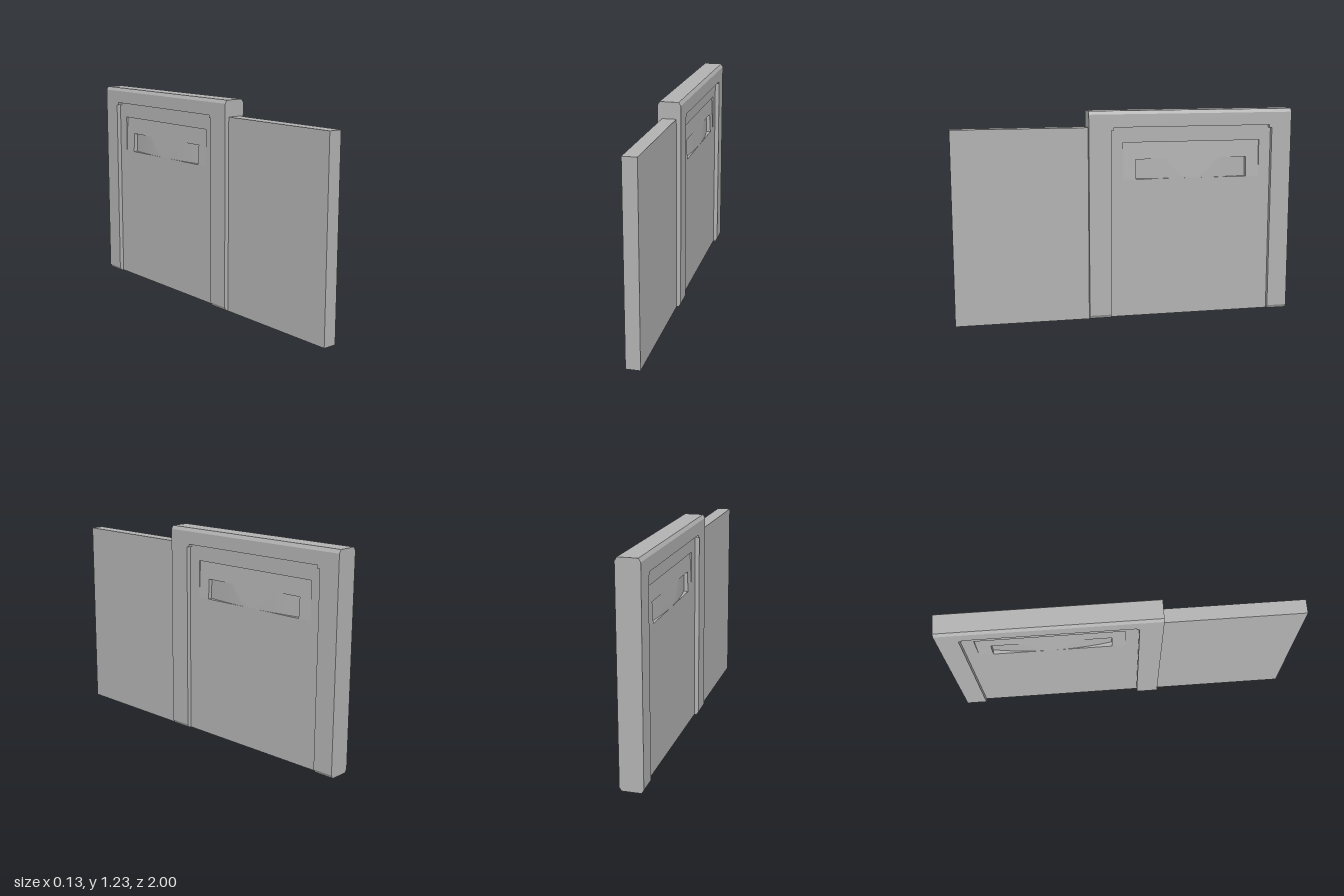
import * as THREE from 'three';

const grey = new THREE.MeshStandardMaterial({ color: 0xb2b2b2 });
grey.name = 'grey';

const HALF = 0.04;      // half thickness of the panels
const FRAME = 0.066;    // half thickness of the frame
const BASE = 0.005, TOP = 1.225, LINTEL = 1.13;
const OPEN_Z0 = -0.88, OPEN_Z1 = 0.09;
const PULL = { z0: -0.81, z1: 0.015, y0: 0.825, y1: 1.04 };
const POCKET = { z0: -0.73, z1: -0.06, y1: 0.94 };

function add(group, name, geometry) {
  const mesh = new THREE.Mesh(geometry, grey);
  mesh.name = name;
  group.add(mesh);
  return mesh;
}

function box(x, y0, y1, z0, z1) {
  return new THREE.BoxGeometry(2 * x, y1 - y0, z1 - z0).translate(0, (y0 + y1) / 2, (z0 + z1) / 2);
}

// Frame bar running along z, with chamfered top and/or bottom edges
function frameBar(y0, y1, z0, z1, bottomCut, topCut) {
  const c = 0.012, h = 0.02;
  const half = [];
  if (bottomCut) half.push([FRAME - c, y0], [FRAME, y0 + h]);
  else half.push([FRAME, y0]);
  if (topCut) half.push([FRAME, y1 - h], [FRAME - c, y1]);
  else half.push([FRAME, y1]);
  const mirrored = half.map(([x, y]) => [-x, y]).reverse();
  const shape = new THREE.Shape([...half, ...mirrored].map(([x, y]) => new THREE.Vector2(x, y)));
  return new THREE.ExtrudeGeometry(shape, { depth: z1 - z0, bevelEnabled: false }).translate(0, 0, z0);
}

// Door leaf with a rectangular opening for the recessed pulls
function leafGeometry() {
  const rect = (z0, y0, z1, y1) =>
    [[z0, y0], [z1, y0], [z1, y1], [z0, y1]].map(([z, y]) => new THREE.Vector2(z, y));
  const shape = new THREE.Shape(rect(OPEN_Z0 - 0.02, BASE, OPEN_Z1 + 0.02, LINTEL + 0.01));
  shape.holes.push(new THREE.Path(rect(PULL.z0, PULL.y0, PULL.z1, PULL.y1).reverse()));
  return new THREE.ExtrudeGeometry(shape, { depth: 2 * HALF, bevelEnabled: false })
    .rotateY(-Math.PI / 2).translate(HALF, 0, 0);
}

// Sloped shallow recess with a deeper curved finger pocket at its foot
function pullGeometry(side) {
  const span = (a, b, n) => Array.from({ length: n + 1 }, (_, i) => a + (b - a) * i / n);
  const tag = (values, zone) => values.map(v => ({ v, zone }));
  // zone 0 = rim, 1 = slope, 2 = pocket; repeated positions make upright walls
  const cols = [
    ...tag([PULL.z0], 0), ...tag([PULL.z0, POCKET.z0], 1),
    ...tag(span(POCKET.z0, POCKET.z1, 32), 2),
    ...tag([POCKET.z1, PULL.z1], 1), ...tag([PULL.z1], 0)];
  const rows = [
    ...tag([PULL.y0], 0), ...tag(span(PULL.y0, POCKET.y1, 8), 2),
    ...tag([POCKET.y1, PULL.y1], 1), ...tag([PULL.y1], 0)];
  const mid = (POCKET.z0 + POCKET.z1) / 2, reach = (POCKET.z1 - POCKET.z0) / 2;
  const point = (c, r) => {
    const zone = Math.min(c.zone, r.zone);
    let depth = 0;
    if (zone > 0) depth = 0.01 * (r.v - PULL.y0) / (PULL.y1 - PULL.y0);
    if (zone === 2) depth = Math.max(depth, 0.026 * ((c.v - mid) / reach) ** 2);
    return [side * (HALF - depth), r.v, c.v];
  };
  const pos = [];
  for (let i = 0; i < cols.length - 1; i++) {
    for (let j = 0; j < rows.length - 1; j++) {
      const a = point(cols[i], rows[j]), b = point(cols[i], rows[j + 1]);
      const c = point(cols[i + 1], rows[j + 1]), d = point(cols[i + 1], rows[j]);
      const quad = side > 0 ? [a, b, c, a, c, d] : [a, c, b, a, d, c];
      pos.push(...quad.flat());
    }
  }
  const g = new THREE.BufferGeometry();
  g.setAttribute('position', new THREE.Float32BufferAttribute(pos, 3));
  g.computeVertexNormals();
  return g;
}

export function createModel() {
  const model = new THREE.Group();
  model.name = 'slidingDoor';

  // Fixed panel at the front
  add(model, 'fixedPanel', box(HALF, 0, LINTEL, 0.2, 1));

  // Door leaf with a pull on each face
  const leaf = new THREE.Group();
  leaf.name = 'doorLeaf';
  add(leaf, 'leafPanel', leafGeometry());
  add(leaf, 'leftPull', pullGeometry(1));
  add(leaf, 'rightPull', pullGeometry(-1));
  model.add(leaf);

  // Chamfered frame: two posts, a lintel and small corner steps
  const frame = new THREE.Group();
  frame.name = 'frame';
  add(frame, 'frontPost', frameBar(BASE, TOP, OPEN_Z1, 0.22, true, true));
  add(frame, 'backPost', frameBar(BASE, TOP, -1, OPEN_Z0, true, true));
  add(frame, 'lintel', frameBar(LINTEL, TOP, OPEN_Z0, OPEN_Z1, false, true));
  const step = 0.016;
  add(frame, 'frontCornerStep', box(FRAME, LINTEL - step, LINTEL, OPEN_Z1 - step, OPEN_Z1));
  add(frame, 'backCornerStep', box(FRAME, LINTEL - step, LINTEL, OPEN_Z0, OPEN_Z0 + step));
  model.add(frame);

  return model;
}
